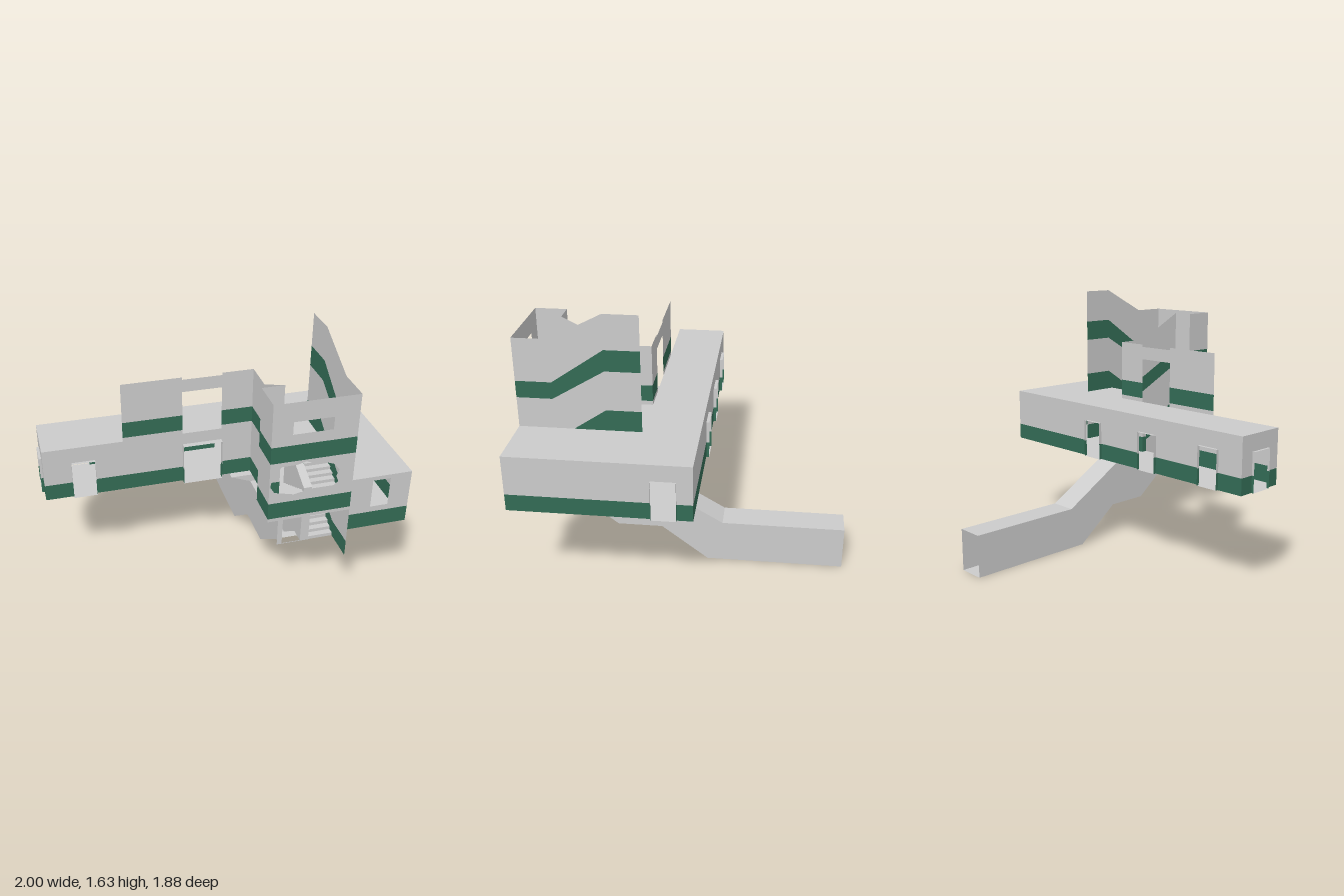
import * as THREE from 'three';
import { mergeGeometries } from 'three/addons/utils/BufferGeometryUtils.js';

const GREY = new THREE.MeshStandardMaterial({ color: 0xcccccc, side: THREE.DoubleSide });
const GREEN = new THREE.MeshStandardMaterial({ color: 0x336b55, side: THREE.DoubleSide });

// Flat outline of [u, y] points, standing on the plane x = c or z = c.
function panel(axis, c, pts, holes = []) {
  const v = (p) => p.map(([a, b]) => new THREE.Vector2(a, b));
  const shape = new THREE.Shape(v(pts));
  holes.forEach((h) => shape.holes.push(new THREE.Path(v(h))));
  const g = new THREE.ShapeGeometry(shape).toNonIndexed();
  g.deleteAttribute('uv');
  if (axis === 'x') g.rotateY(-Math.PI / 2).translate(c, 0, 0);
  else g.translate(0, 0, c);
  return g;
}

const rect = (a, b, y0, y1) => [[a, y0], [b, y0], [b, y1], [a, y1]];

// A [z, y] profile swept straight across from x0 to x1.
function ribbon(x0, x1, pts) {
  const pos = [];
  for (let i = 0; i + 1 < pts.length; i++) {
    const [[z0, y0], [z1, y1]] = [pts[i], pts[i + 1]];
    pos.push(x0, y0, z0, x0, y1, z1, x1, y1, z1, x0, y0, z0, x1, y1, z1, x1, y0, z0);
  }
  const g = new THREE.BufferGeometry();
  g.setAttribute('position', new THREE.Float32BufferAttribute(pos, 3));
  g.computeVertexNormals();
  return g;
}

const slab = (x0, x1, z0, z1, y) => ribbon(x0, x1, [[z1, y], [z0, y]]);

// Zigzag of n steps between two [z, y] points.
function steps([z0, y0], [z1, y1], n) {
  const pts = [[z0, y0]];
  for (let i = 1; i <= n; i++) {
    const z = z0 + ((z1 - z0) * i) / n;
    const y = y0 + ((y1 - y0) * i) / n;
    // the riser stands at the lower end of each tread
    const [lastZ, lastY] = pts[pts.length - 1];
    pts.push(y1 > y0 ? [lastZ, y] : [z, lastY], [z, y]);
  }
  return pts;
}

export function createModel() {
  const model = new THREE.Group();
  const add = (name, geo, mat = GREY) => {
    const mesh = new THREE.Mesh(geo, mat);
    mesh.name = name;
    model.add(mesh);
  };

  // Wall split into grid cells around rectangular openings [u0, u1, y0, y1], with green bands [y0, y1].
  function wall(name, axis, c, u0, u1, y0, y1, bands, holes = []) {
    const cuts = (lo, hi, list) => [...new Set([lo, hi, ...list.filter((t) => t > lo && t < hi)])].sort((a, b) => a - b);
    const us = cuts(u0, u1, holes.flatMap((h) => [h[0], h[1]]));
    const ys = cuts(y0, y1, [...bands.flat(), ...holes.flatMap((h) => [h[2], h[3]])]);
    const grey = [], green = [];
    for (let j = 0; j + 1 < ys.length; j++) {
      const y = (ys[j] + ys[j + 1]) / 2;
      const list = bands.some((b) => y > b[0] && y < b[1]) ? green : grey;
      for (let i = 0; i + 1 < us.length; i++) {
        const u = (us[i] + us[i + 1]) / 2;
        if (!holes.some((h) => u > h[0] && u < h[1] && y > h[2] && y < h[3]))
          list.push(panel(axis, c, rect(us[i], us[i + 1], ys[j], ys[j + 1])));
      }
    }
    if (grey.length) add(name, mergeGeometries(grey), GREY);
    if (green.length) add(name + 'Band', mergeGeometries(green), GREEN);
  }

  // Wall along z whose bands follow the stairs; each level lists its height at every z knot.
  function slopedWall(name, x, zs, levels) {
    for (let i = 0; i + 1 < levels.length; i++) {
      const low = zs.map((z, k) => [z, levels[i][k]]);
      const high = zs.map((z, k) => [z, levels[i + 1][k]]);
      add(name + (i % 2 ? '' : 'Band'), panel('x', x, [...low, ...high.reverse()]), i % 2 ? GREY : GREEN);
    }
  }

  // Main L-shaped building
  const F = 0.61, R = 0.945, DOOR = 0.845, E = 0.985;
  const band = [[F, 0.71]];
  const door = (a, b, top = DOOR) => [a, b, F, top];
  const backDoors = [[-0.82, -0.68], [-0.34, -0.2], [0.14, 0.28]];
  const frontDoors = [[-0.82, -0.68, DOOR, 0.25], [-0.15, 0.09, 0.87, 0.265]];
  wall('backWall', 'z', -0.09, -E, E, F, R, band, backDoors.map(([a, b]) => door(a, b)));
  wall('hallFrontWall', 'z', 0.23, -E, 0.28, F, R, band, frontDoors.map(([a, b, top]) => door(a, b, top)));
  wall('rightEndWall', 'x', -E, -0.09, 0.23, F, R, band, [door(0, 0.14)]);
  wall('leftSideWall', 'x', E, -0.09, 0.94, F, R, band, [door(0, 0.14)]);
  wall('wingFrontWall', 'z', 0.94, 0.63, E, F, R, band, [[0.755, 0.86, 0.745, 0.92]]);
  wall('wingInnerWall', 'x', 0.634, 0.23, 0.94, F, R, band);
  for (const [name, y] of [['floor', F], ['roof', R]])
    add(name, mergeGeometries([
      slab(-E, E, -0.09, 0.23, y), slab(0.63, E, 0.23, 0.94, y), slab(0.28, 0.63, 0.23, 0.43, y),
    ]));

  // Thin door surrounds standing out from the walls
  function surround(axis, c0, c1, u0, u1, top) {
    const side = axis === 'z' ? 'x' : 'z';
    const [a, b] = [Math.min(c0, c1), Math.max(c0, c1)];
    for (const u of [u0, u1]) wall('doorJamb', side, u, a, b, F, top, band);
    for (const [name, y] of [['doorSill', F], ['doorHead', top]])
      add(name, axis === 'z' ? slab(u0, u1, a, b, y) : slab(a, b, u0, u1, y));
  }
  backDoors.forEach(([a, b]) => surround('z', -0.09, -0.108, a, b, DOOR));
  frontDoors.forEach(([a, b, top, z]) => surround('z', 0.23, z, a, b, top));
  for (const s of [-1, 1]) surround('x', s * E, s, 0, 0.14, DOOR);

  // Rooftop wall with its doorway
  wall('rooftopWall', 'z', 0.23, -0.51, 0.28, R, 1.32, [[0.97, 1.07]],
    [[-0.15, 0.09, R, 1.225], [-0.15, 0.09, 1.305, 1.33]]);

  // Stair tower: sloped side walls
  slopedWall('towerOuterWall', 0.63, [0.94, 0.735, 0.435, 0.235], [
    [0.425, 0.425, F, F], [0.525, 0.525, 0.71, 0.71],
    [0.77, 0.77, R, R], [0.87, 0.87, 1.07, 1.07],
    [1.125, 1.125, 1.305, 1.305], [1.225, 1.225, 1.43, 1.43], [1.48, 1.48, 1.635, 1.635],
  ]);
  slopedWall('towerInnerWall', 0.28, [0.75, 0.43, 0.23], [
    [0.77, F, F], [0.87, 0.71, 0.71], [1.125, 0.97, 0.97], [1.225, 1.07, 1.07], [1.48, 1.32, 1.32],
  ]);

  // Stair tower: front, return walls and half landing
  const towerBands = [[0.77, 0.87], [1.125, 1.225]];
  wall('towerFrontLower', 'z', 0.94, 0.15, 0.63, 0.75, 0.87, towerBands);
  wall('towerFrontUpper', 'z', 0.94, 0.15, 0.63, 1.125, 1.48, towerBands, [[0.265, 0.49, 1.29, 1.365]]);
  const ragged = [[0.155, 0.98], [0.18, 0.94], [0.24, 0.925], [0.29, 0.912], [0.36, 0.925], [0.44, 0.918],
    [0.51, 0.925], [0.545, 0.955], [0.53, 0.99], [0.545, 1.03], [0.515, 1.07], [0.45, 1.095], [0.39, 1.1],
    [0.35, 1.113], [0.3, 1.1], [0.22, 1.1], [0.175, 1.075], [0.165, 1.03]];
  add('towerFrontBroken', panel('z', 0.94, rect(0.15, 0.63, 0.87, 1.125), [ragged]));
  wall('towerReturn', 'x', 0.15, 0.75, 0.94, 0.75, 1.48, towerBands);
  wall('towerReturnBack', 'z', 0.75, 0.15, 0.28, 0.75, 1.48, towerBands);
  add('halfLanding', mergeGeometries([0.75, 0.77].map((y) => slab(0.15, 0.63, 0.75, 0.94, y))));

  // Stair flights and the divider between them
  add('lowerFlight', ribbon(0.48, 0.63, steps([0.75, 0.425], [0.43, F], 9)));
  add('middleFlight', ribbon(0.28, 0.43, steps([0.43, F], [0.75, 0.77], 9)));
  add('upperFlight', ribbon(0.48, 0.63, steps([0.75, 0.77], [0.43, R], 9)));
  const divider = [[0.75, 0.425], [0.75, 0.8], [0.43, R], [0.43, 0.425]];
  add('stairDivider', mergeGeometries([
    panel('x', 0.43, divider), panel('x', 0.48, divider), ribbon(0.43, 0.48, [...divider, divider[0]]),
  ]));
  add('passageFrame', panel('z', 0.752, rect(0.285, 0.48, 0.425, 0.75), [rect(0.315, 0.445, 0.43, 0.72)]));

  // Covered stair tunnel running down to the back
  const ceiling = [[-0.94, 0.265], [-0.21, 0.265], [0.19, 0.5], [0.38, 0.5], [0.435, 0.535], [0.435, F]];
  const base = [[0.7, 0.425], [0.43, 0.215], [0.16, 0.215], [-0.12, 0], [-0.94, 0]];
  const side = [...ceiling, [0.75, F], [0.75, 0.425], ...base];
  for (const x of [0.3, 0.47]) add('tunnelSide', panel('x', x, side));
  add('tunnelCeiling', ribbon(0.3, 0.47, ceiling));
  add('tunnelSteps', ribbon(0.3, 0.47, [
    ...steps(base[0], base[1], 7), ...steps(base[2], base[3], 7), base[4],
  ]));

  return model;
}
